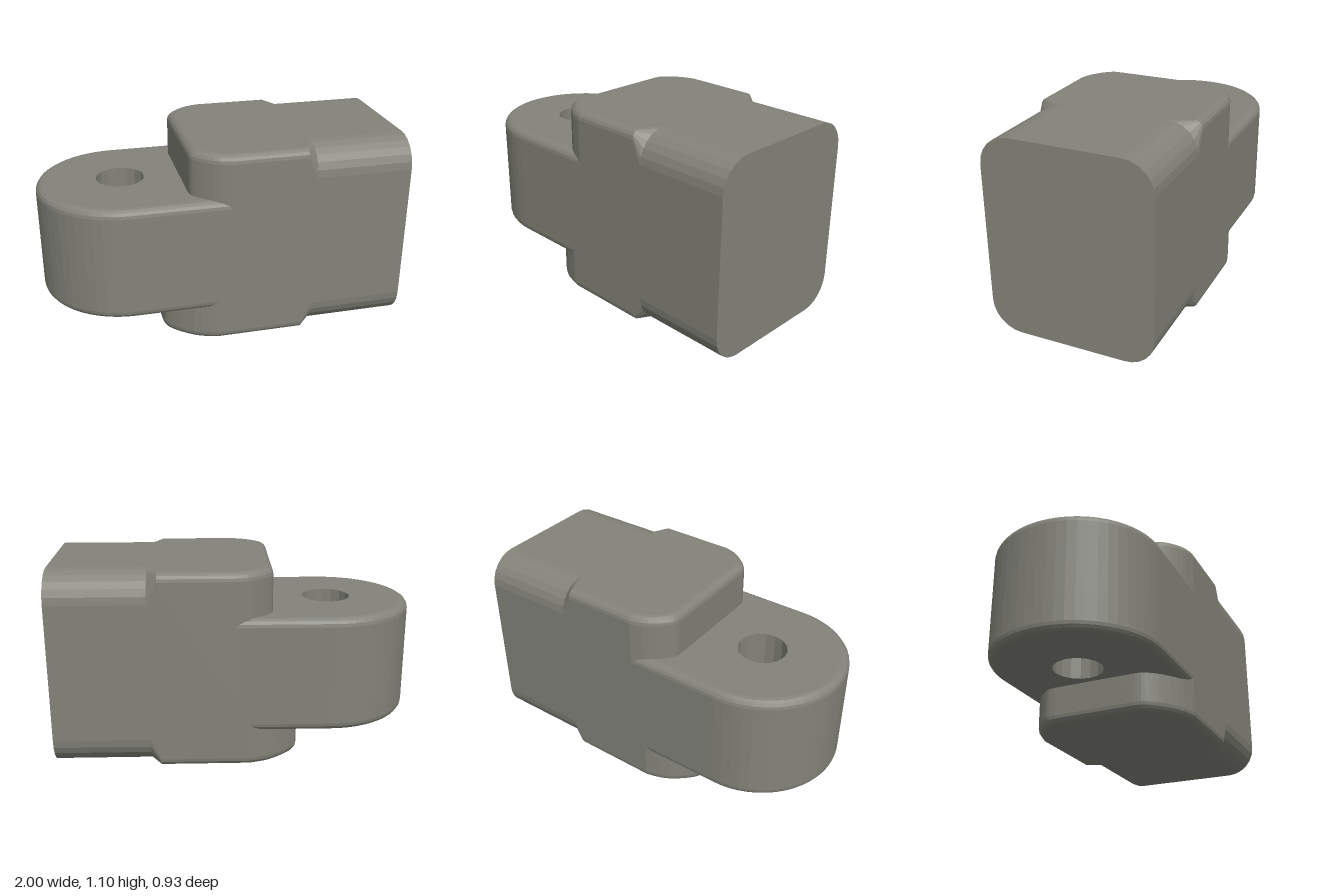
import * as THREE from 'three';

const HALF_WIDTH = 0.465, HEIGHT = 1.1, FILLET = 0.045;
const HOLE_X = -0.535, HOLE_RADIUS = 0.135;
const STEP_START = 0.41, STEP_END = 0.465;
const material = new THREE.MeshStandardMaterial({ color: 0x83837a, flatShading: true });

function addMesh(group, name, geometry) {
  geometry.computeVertexNormals();
  const mesh = new THREE.Mesh(geometry, material);
  mesh.name = name;
  group.add(mesh);
}

// Closed plan outline from the points of its +z half, mirrored across the x axis
function mirroredShape(half) {
  const other = half.filter(p => p.y > 1e-6).map(p => new THREE.Vector2(p.x, -p.y)).reverse();
  return new THREE.Shape([...half, ...other].reverse());
}

// Upright slab with filleted top and bottom edges
function filletedSlab(shape, bottom, top) {
  const geometry = new THREE.ExtrudeGeometry(shape, {
    depth: top - bottom - 2 * FILLET, steps: 1, bevelEnabled: true, bevelSegments: 4,
    bevelSize: FILLET, bevelThickness: FILLET, bevelOffset: -FILLET,
  });
  return geometry.rotateX(-Math.PI / 2).translate(0, bottom + FILLET, 0);
}

function moveVertices(geometry, rule) {
  const pos = geometry.attributes.position, v = new THREE.Vector3();
  for (let i = 0; i < pos.count; i++) {
    rule(v.fromBufferAttribute(pos, i));
    pos.setXYZ(i, v.x, v.y, v.z);
  }
  return geometry;
}

// Block with curved front corners of a given size, cut flat where the step begins
function block(front, bottom, top, size) {
  const corner = new THREE.SplineCurve([
    [0, 0.175], [0.006, 0.14], [0.025, 0.11], [0.065, 0.07], [0.13, 0.025], [0.21, 0],
  ].map(([x, inset]) => new THREE.Vector2(front + x * size, HALF_WIDTH - inset * size))).getPoints(12);
  const shape = mirroredShape([...corner, new THREE.Vector2(0.5, HALF_WIDTH)]);
  return moveVertices(filletedSlab(shape, bottom, top), v => { v.x = Math.min(v.x, STEP_START); });
}

// Round-ended tongue with a sharp-edged pin hole
function tongue() {
  const half = [];
  for (let i = 0; i <= 14; i++) {
    const a = Math.PI - (i / 14) * Math.PI / 2;
    half.push(new THREE.Vector2(HOLE_X + HALF_WIDTH * Math.cos(a), HALF_WIDTH * Math.sin(a)));
  }
  half.push(new THREE.Vector2(0.3, HALF_WIDTH));
  const shape = mirroredShape(half);
  const hole = [];
  for (let i = 0; i < 16; i++) {
    const a = (i / 16) * Math.PI * 2;
    hole.push(new THREE.Vector2(HOLE_X + HOLE_RADIUS * Math.cos(a), HOLE_RADIUS * Math.sin(a)));
  }
  shape.holes.push(new THREE.Path(hole));
  // keep the hole wall straight through the fillet layers
  return moveVertices(filletedSlab(shape, 0.205, 0.85), v => {
    const r = Math.hypot(v.x - HOLE_X, v.z);
    if (r > 0.25) return;
    v.x = HOLE_X + (v.x - HOLE_X) * HOLE_RADIUS / r;
    v.z *= HOLE_RADIUS / r;
  });
}

// Rounded rectangle across the x axis
function section(x, radius) {
  const ring = [], segments = 6;
  for (let corner = 0; corner < 4; corner++) {
    const sz = corner === 0 || corner === 3 ? 1 : -1, sy = corner < 2 ? 1 : -1;
    for (let i = 0; i <= segments; i++) {
      const a = (corner + i / segments) * Math.PI / 2;
      ring.push([x,
        HEIGHT / 2 + sy * (HEIGHT / 2 - radius) + radius * Math.sin(a),
        sz * (HALF_WIDTH - radius) + radius * Math.cos(a)]);
    }
  }
  return ring;
}

// Shank lofted through sections: sloping corner steps, then a straight run to the end face
function shank() {
  const rings = [section(STEP_START, FILLET), section(STEP_END, 0.165), section(1, 0.165)];
  const n = rings[0].length, points = [];
  for (let j = 0; j < n; j++) {
    const k = (j + 1) % n;
    for (let i = 0; i < rings.length - 1; i++) {
      const a = rings[i], b = rings[i + 1];
      points.push(...a[j], ...b[j], ...a[k], ...b[j], ...b[k], ...a[k]);
    }
    points.push(1, HEIGHT / 2, 0, ...rings[2][k], ...rings[2][j]);
  }
  const geometry = new THREE.BufferGeometry();
  geometry.setAttribute('position', new THREE.Float32BufferAttribute(points, 3));
  return geometry;
}

export function createModel() {
  const group = new THREE.Group();
  group.name = 'hingeLink';
  addMesh(group, 'tongue', tongue());
  addMesh(group, 'upperBlock', block(-0.207, 0.35, HEIGHT, 0.97));
  addMesh(group, 'lowerBlock', block(-0.357, 0, 0.7, 1.32));
  addMesh(group, 'shank', shank());
  return group;
}
